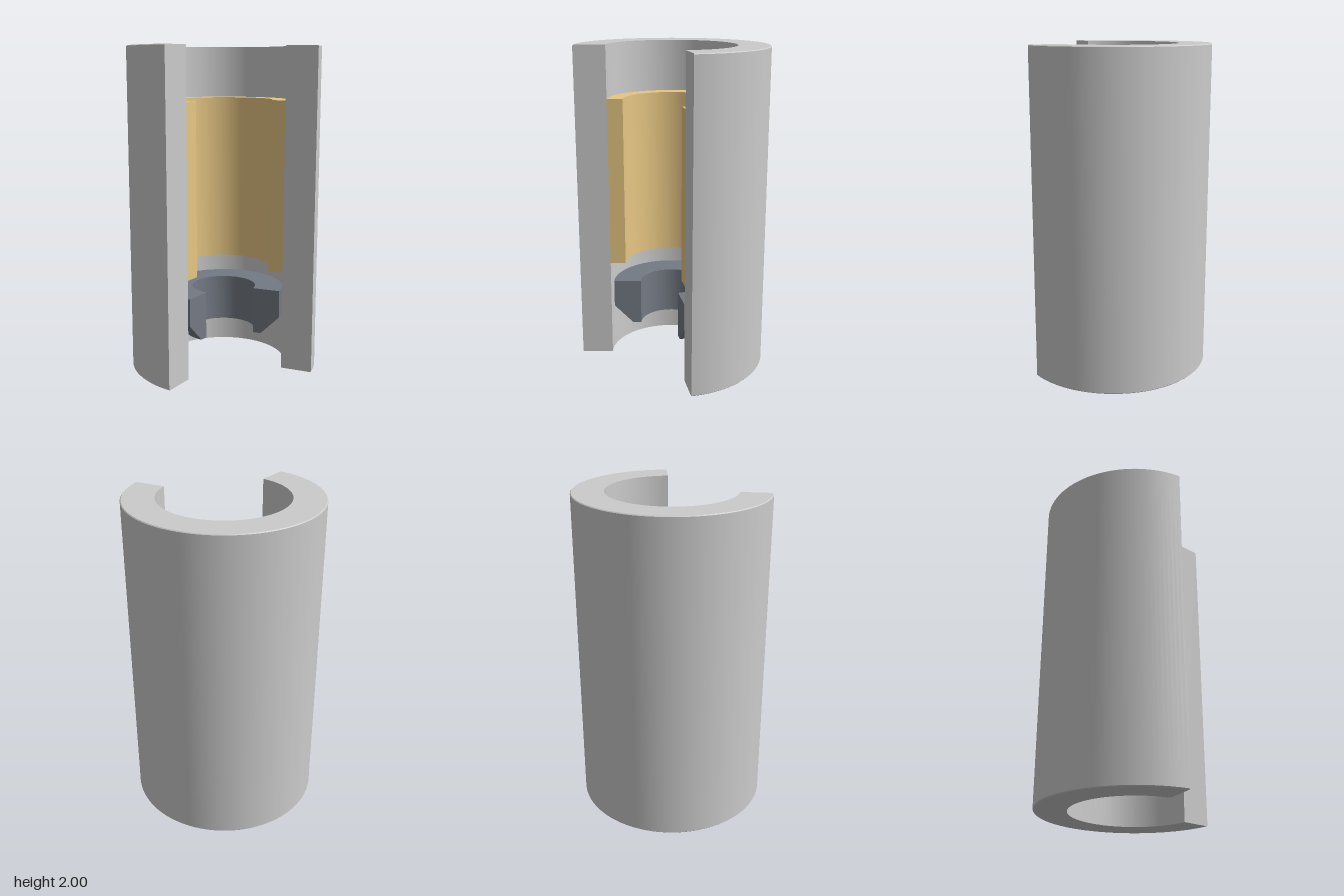
import * as THREE from 'three';
import { mergeGeometries, toCreasedNormals } from 'three/addons/utils/BufferGeometryUtils.js';

const CENTRE_X = 0.027;
const START = THREE.MathUtils.degToRad(115.4); // back edge of the cutaway
const SWEEP = THREE.MathUtils.degToRad(258.8); // round the back to the front edge

// Closed [radius, y] profile (counter-clockwise) swept round the axis, with flat cut faces.
function cutawayRing(name, color, profile) {
  const points = profile.map(([r, y]) => new THREE.Vector2(r, y));
  const wall = new THREE.LatheGeometry([...points, points[0].clone()], 96, START, SWEEP);
  const startCap = new THREE.ShapeGeometry(new THREE.Shape(points));
  const endCap = startCap.clone();
  startCap.rotateY(START - Math.PI / 2);
  endCap.index.array.reverse(); // face the other way
  endCap.rotateY(START + SWEEP - Math.PI / 2);
  const geometry = toCreasedNormals(mergeGeometries([wall, startCap, endCap]), 0.4);
  const mesh = new THREE.Mesh(geometry, new THREE.MeshStandardMaterial({ color }));
  mesh.name = name;
  return mesh;
}

export function createModel() {
  const model = new THREE.Group();
  model.name = 'cutawayCylinder';

  // Thick outer tube with slightly broken outer edges
  model.add(cutawayRing('outerTube', 0xcccccc, [
    [0.392, 0], [0.582, 0], [0.587, 0.005], [0.587, 1.995], [0.582, 2], [0.392, 2],
  ]));

  // Liner sleeve against the tube wall
  model.add(cutawayRing('linerSleeve', 0xe6c683, [
    [0.296, 0.624], [0.392, 0.624], [0.392, 1.68], [0.296, 1.68],
  ]));

  // Loose ring below the sleeve, chamfered at its lower outer edge
  model.add(cutawayRing('chamferedRing', 0x747a84, [
    [0.2, 0.21], [0.252, 0.21], [0.372, 0.33], [0.372, 0.502], [0.2, 0.502],
  ]));

  for (const part of model.children) part.position.x = CENTRE_X;
  return model;
}
